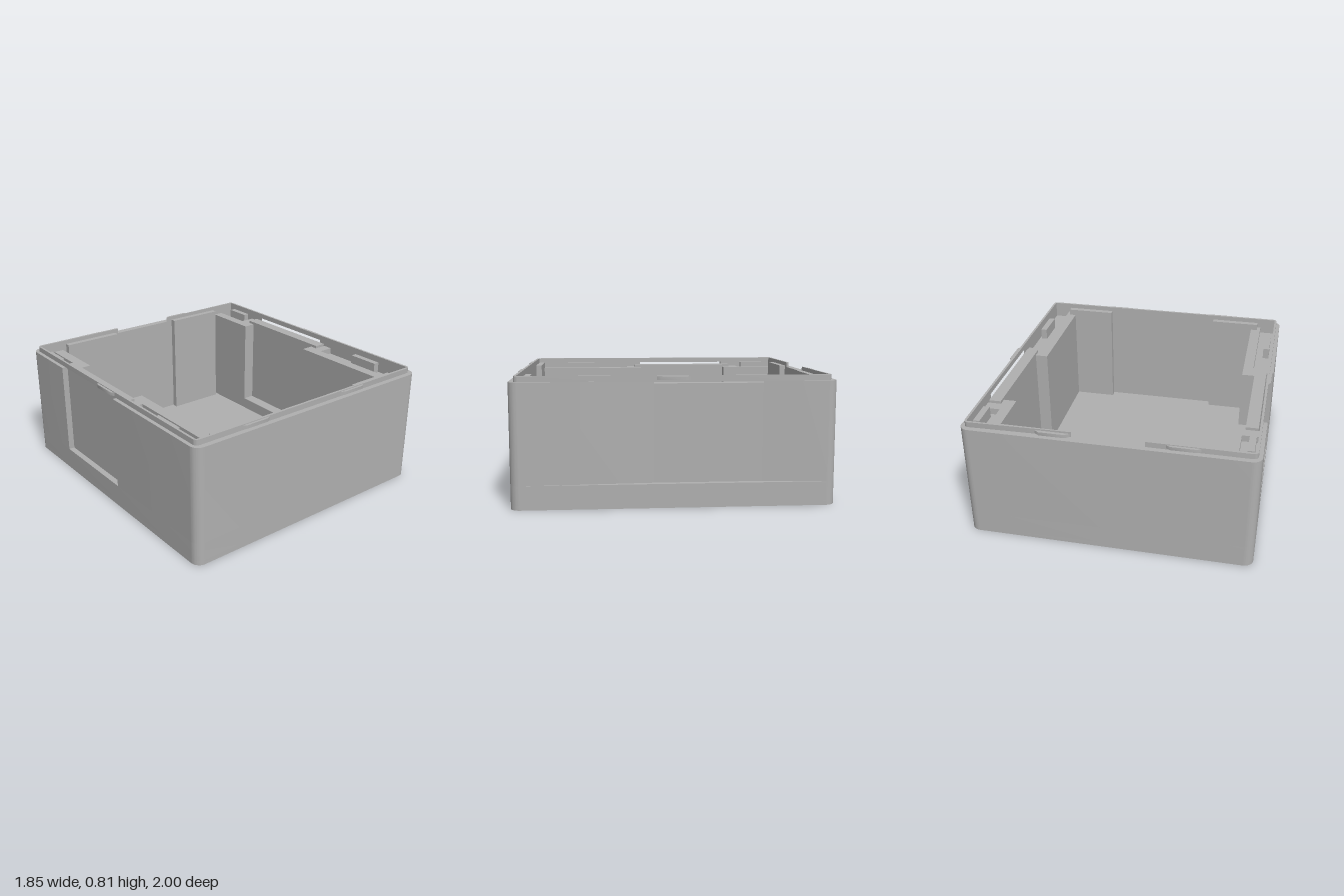
import * as THREE from 'three';
import { toCreasedNormals } from 'three/addons/utils/BufferGeometryUtils.js';

// main dimensions
const W = 0.925, D = 1, R = 0.06;        // outer half width, half depth, corner radius
const IW = 0.885, ID = 0.95;             // inner half width, half depth
const FLOOR = 0.03, SILL = 0.15, RIM = 0.775, TOP = 0.81;
const WIN = [-0.545, 0.125];             // window z range
const SLOT = [-0.6, 0.175];              // panel slot z range

export function createModel() {
  const model = new THREE.Group();
  model.name = 'enclosureBase';
  const grey = new THREE.MeshStandardMaterial({ color: 0xb0b0b0 });
  grey.name = 'grey plastic';

  const add = (name, geometry) => {
    const mesh = new THREE.Mesh(geometry, grey);
    mesh.name = name;
    model.add(mesh);
    return mesh;
  };
  // extrude a plan outline (x, z) between two heights
  const slab = (name, shape, y0, y1) => {
    const g = new THREE.ExtrudeGeometry(shape, { depth: y1 - y0, bevelEnabled: false, curveSegments: 8 });
    g.rotateX(Math.PI / 2).translate(0, y1, 0);
    return add(name, toCreasedNormals(g, 0.6));
  };
  const poly = (pts, sx = 1, sz = 1) =>
    new THREE.Shape(pts.map(([x, z]) => new THREE.Vector2(x * sx, z * sz)));
  const box = (name, x0, x1, y0, y1, z0, z1) =>
    add(name, new THREE.BoxGeometry(Math.abs(x1 - x0), y1 - y0, z1 - z0)
      .translate((x0 + x1) / 2, (y0 + y1) / 2, (z0 + z1) / 2));

  const roundedRect = (w, d, r) => {
    const s = new THREE.Shape();
    s.moveTo(w, -d + r);
    s.absarc(w - r, d - r, r, 0, Math.PI / 2);
    s.absarc(-w + r, d - r, r, Math.PI / 2, Math.PI);
    s.absarc(-w + r, -d + r, r, Math.PI, Math.PI * 1.5);
    s.absarc(w - r, -d + r, r, Math.PI * 1.5, Math.PI * 2);
    return s;
  };

  // floor and the wall below the windows
  slab('floor', roundedRect(W, D, R), 0, FLOOR);
  const ring = roundedRect(W, D, R);
  ring.holes.push(poly([[-IW, -ID], [-IW, ID], [IW, ID], [IW, -ID]]));
  slab('lowerWall', ring, FLOOR, SILL);

  // upper wall: front and back U shapes with the side windows between them
  const wallU = (sign, z) => {
    const s = new THREE.Shape();
    s.moveTo(W, z);
    s.absarc(W - R, D - R, R, 0, Math.PI / 2);
    s.absarc(-W + R, D - R, R, Math.PI / 2, Math.PI);
    [[-W, z], [-IW, z], [-IW, ID], [IW, ID], [IW, z]].forEach(p => s.lineTo(...p));
    return poly(s.getPoints(8).map(p => [p.x, p.y]), 1, sign);
  };
  slab('frontWall', wallU(1, WIN[1]), SILL, RIM);
  slab('backWall', wallU(-1, -WIN[0]), SILL, RIM);

  // thin raised lip, open at the middle of the back
  const lw = 0.9, ld = 0.966, r = 0.03;
  const lip = new THREE.Shape();
  lip.moveTo(0.22, -ld);
  lip.absarc(lw - r, -ld + r, r, -Math.PI / 2, 0);
  lip.absarc(lw - r, ld - r, r, 0, Math.PI / 2);
  lip.absarc(-lw + r, ld - r, r, Math.PI / 2, Math.PI);
  lip.absarc(-lw + r, -ld + r, r, Math.PI, Math.PI * 1.5);
  [[-0.235, -ld], [-0.235, -ID], [-IW, -ID], [-IW, ID], [IW, ID], [IW, -ID], [0.22, -ID]]
    .forEach(p => lip.lineTo(...p));
  slab('lip', lip, RIM, TOP);

  // tapered snap ridges around the lip
  const ridge = (name, x, z, turn) => {
    const m = slab(name, poly([[-0.11, -0.004], [0.11, -0.004], [0.08, 0.016], [-0.08, 0.016]]), 0.783, 0.805);
    m.position.set(x, 0, z);
    m.rotation.y = turn;
  };
  for (const x of [-0.465, 0.335]) {
    ridge('frontSnapRidge', x, ld, 0);
    ridge('backSnapRidge', x, -ld, Math.PI);
  }
  ridge('leftSnapRidge', lw, 0.005, Math.PI / 2);
  ridge('rightSnapRidge', -lw, 0.005, -Math.PI / 2);

  // thick inner sides, each with a T slot holding a panel
  const IN = 0.71, NECK = 0.796, POCKET = 0.78, LEDGE = 0.11, SHELF = 0.7, BLOCK = 0.742;
  for (const s of [1, -1]) {
    box('slotSill', s * IN, s * IW, FLOOR, LEDGE, -ID, ID);
    for (const [sign, win, slot, pocket] of [
      [1, WIN[1], SLOT[1], 0.24], [-1, -WIN[0], -SLOT[0], 0.67]]) {
      slab('sideBlock', poly([[IN, win], [NECK, win], [NECK, slot], [IW, slot], [IW, ID], [IN, ID]], s, sign),
        LEDGE, SHELF);
      slab('sideBlockTop', poly([[IN, win], [NECK, win], [NECK, slot], [IW, slot], [IW, pocket],
        [POCKET, pocket], [POCKET, ID], [IN, ID]], s, sign), SHELF, BLOCK);
    }
    box('slidingPanel', s * NECK, s * 0.876, LEDGE, 0.76, SLOT[0], SLOT[1]);
    // upright tabs in the corner pockets
    box('frontTab', s * 0.83, s * 0.872, SHELF, RIM, 0.5, 0.715);
    box('backTab', s * 0.83, s * 0.872, SHELF, RIM, -0.885, -0.705);
    // upright ribs beside the front and back walls
    box('backRib', s * 0.265, s * 0.685, FLOOR, 0.785, -0.945, -0.905);
    box('frontRib', s * 0.41, s * 0.755, FLOOR, 0.785, 0.895, 0.935);
  }
  return model;
}
